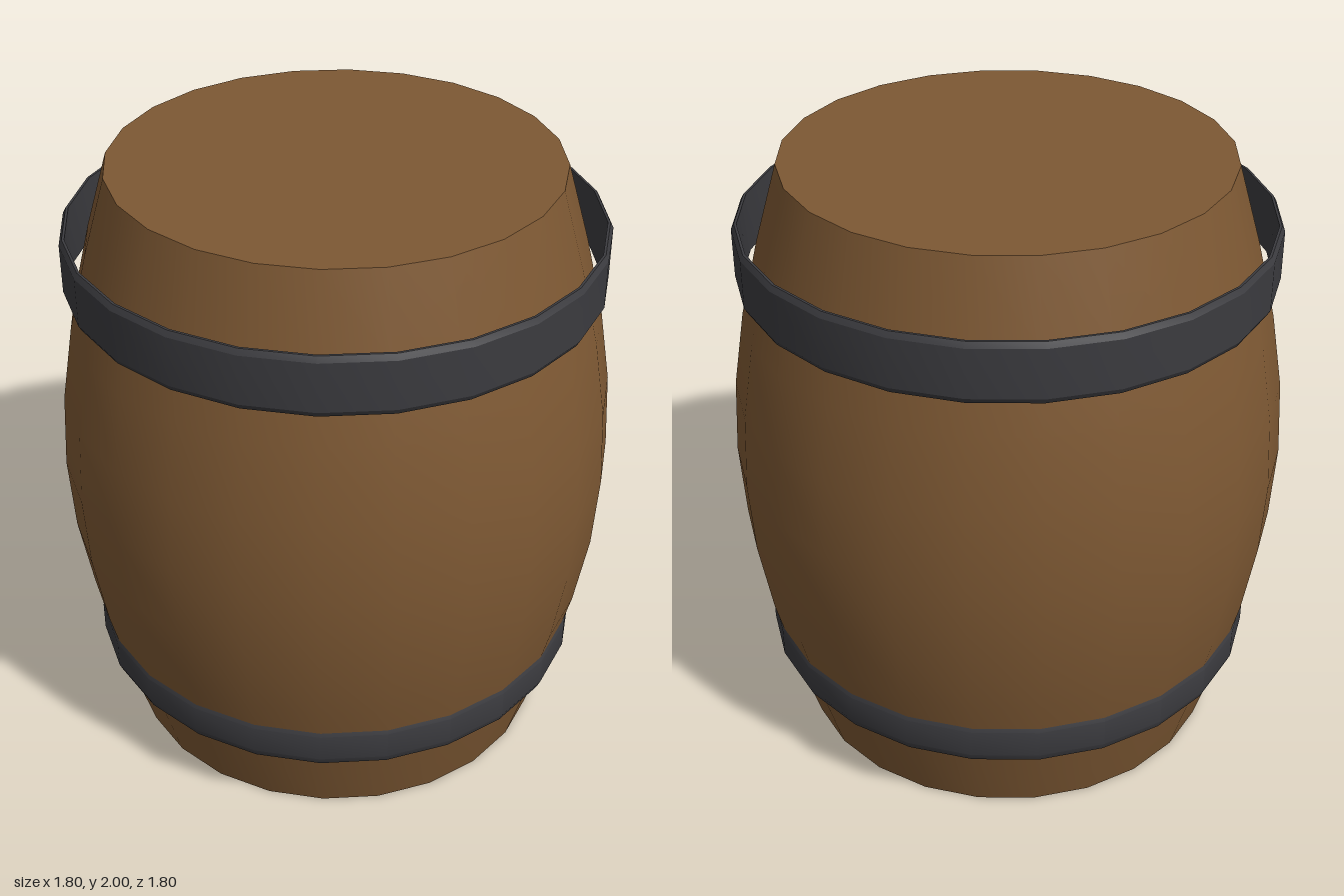
import * as THREE from 'three';
import { toCreasedNormals } from 'three/addons/utils/BufferGeometryUtils.js';

const SIDES = 24;
const END_RADIUS = 0.708;
const BULGE = 0.192;

const wood = new THREE.MeshStandardMaterial({ color: 0x7d5833, side: THREE.DoubleSide });
const iron = new THREE.MeshStandardMaterial({ color: 0x3b3b3f });

function addMesh(group, name, geometry, material) {
  const mesh = new THREE.Mesh(geometry, material);
  mesh.name = name;
  group.add(mesh);
  return mesh;
}

// Thin closed band with chamfered outer corners
function hoopGeometry(bottom, top, outer, bevelX, bevelY, thickness) {
  const inner = outer - thickness;
  const profile = [
    [inner, bottom],
    [outer - bevelX, bottom],
    [outer, bottom + bevelY],
    [outer, top - bevelY],
    [outer - bevelX, top],
    [inner, top],
    [inner, bottom],
  ].map(([r, y]) => new THREE.Vector2(r, y));
  return toCreasedNormals(new THREE.LatheGeometry(profile, SIDES), Math.PI / 7);
}

export function createModel() {
  const barrel = new THREE.Group();
  barrel.name = 'barrel';

  // Bulging wall, open at the bottom
  const wall = [];
  for (let i = 0; i <= 8; i++) {
    const t = i / 8;
    wall.push(new THREE.Vector2(END_RADIUS + BULGE * Math.sin(Math.PI * t), 2 * t));
  }
  addMesh(barrel, 'barrelWall', new THREE.LatheGeometry(wall, SIDES), wood);

  // Flat lid
  const lid = addMesh(barrel, 'lid', new THREE.CircleGeometry(END_RADIUS, SIDES), wood);
  lid.rotation.x = -Math.PI / 2;
  lid.position.y = 2;

  // Iron hoops: the upper one stands clear of the wall
  addMesh(barrel, 'upperHoop', hoopGeometry(1.615, 1.81, 0.856, 0.01, 0.018, 0.018), iron);
  addMesh(barrel, 'lowerHoop', hoopGeometry(0.265, 0.415, 0.824, 0.012, 0.028, 0.016), iron);

  return barrel;
}
